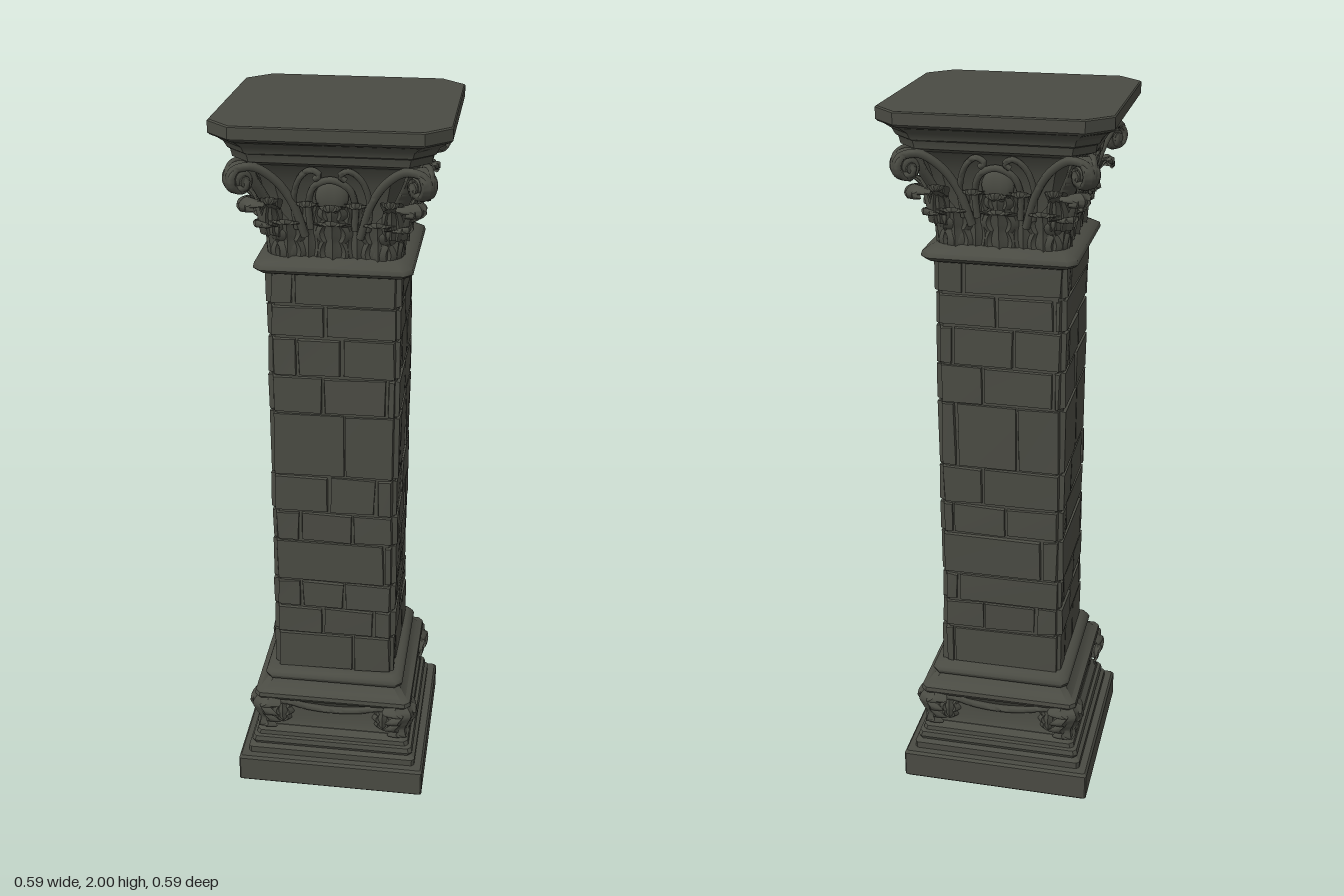
import * as THREE from 'three';
import { toCreasedNormals } from 'three/addons/utils/BufferGeometryUtils.js';

const stone = new THREE.MeshStandardMaterial({ color: 0x4a4b43, side: THREE.DoubleSide });
const V = (x, y, z) => new THREE.Vector3(x, y, z);

let seed = 7;
const rand = () => (seed = (seed * 16807) % 2147483647) / 2147483647;
const jitter = (a) => (rand() - 0.5) * 2 * a;

function add(parent, name, geo, crease = 0.6) {
  const mesh = new THREE.Mesh(toCreasedNormals(geo, crease), stone);
  mesh.name = name;
  parent.add(mesh);
  return mesh;
}

// Square moulding with cut corners, from rows of [half width, y, corner cut]
function moulding(rows) {
  const pos = [], idx = [];
  for (const [h, y, c] of rows) {
    const k = h - c;
    for (const [x, z] of [[-k, h], [k, h], [h, k], [h, -k], [k, -h], [-k, -h], [-h, -k], [-h, k]]) pos.push(x, y, z);
  }
  for (let r = 0; r < rows.length - 1; r++) {
    for (let i = 0; i < 8; i++) {
      const a = r * 8 + i, b = r * 8 + (i + 1) % 8;
      idx.push(a, b, b + 8, a, b + 8, a + 8);
    }
  }
  const top = (rows.length - 1) * 8;
  for (let i = 1; i < 7; i++) idx.push(0, i + 1, i, top, top + i, top + i + 1);
  const geo = new THREE.BufferGeometry();
  geo.setAttribute('position', new THREE.Float32BufferAttribute(pos, 3));
  geo.setIndex(idx);
  return geo;
}

// Acanthus leaf: a ribbed, lobed sheet following a path of [outward, y]
function leaf(path, width, lobes = 4, bend = 0.3) {
  const curve = new THREE.CatmullRomCurve3(path.map(([z, y]) => V(0, y, z)));
  const geo = new THREE.PlaneGeometry(2, 1, 10, 24);
  const p = geo.attributes.position;
  for (let i = 0; i < p.count; i++) {
    const u = p.getX(i), t = p.getY(i) + 0.5, c = curve.getPoint(t);
    const outline = Math.sqrt(Math.max(0, 1 - Math.pow(t, 4))) * (0.7 + 0.3 * Math.abs(Math.sin(lobes * Math.PI * t)));
    const w = width * outline;
    const rib = 0.006 * Math.cos(u * Math.PI * 3) * (1 - t * 0.5);
    p.setXYZ(i, u * w, c.y - Math.abs(u) * w * 0.25, c.z + rib - bend * u * u * w);
  }
  return geo;
}

const tube = (pts, r, n = 32) =>
  new THREE.TubeGeometry(new THREE.CatmullRomCurve3(pts.map((q) => V(...q))), n, r, 7);

// Roughly cut block: front corners are drawn in and shaken a little
function block(w, h, d) {
  const geo = new THREE.BoxGeometry(w, h, d);
  const p = geo.attributes.position, shifts = {};
  for (let i = 0; i < p.count; i++) {
    const x = p.getX(i), y = p.getY(i), z = p.getZ(i);
    if (z < 0) continue;
    const s = (shifts[`${x > 0}${y > 0}`] ??= [jitter(0.003), jitter(0.003), jitter(0.002)]);
    p.setXYZ(i, x - Math.sign(x) * 0.004 + s[0], y - Math.sign(y) * 0.004 + s[1], z + s[2]);
  }
  return geo;
}

function makeBase() {
  const base = new THREE.Group();
  base.name = 'base';
  add(base, 'plinth', moulding([
    [0.268, 0, 0.004], [0.276, 0.008, 0.004], [0.276, 0.084, 0.004], [0.27, 0.092, 0.004]]), 0.3);
  add(base, 'steps', moulding([
    [0.25, 0.09, 0.008], [0.25, 0.112, 0.008], [0.238, 0.12, 0.01], [0.242, 0.13, 0.01],
    [0.238, 0.144, 0.01], [0.229, 0.147, 0.01], [0.227, 0.16, 0.012], [0.212, 0.175, 0.012]]), 0.3);
  add(base, 'pedestal', moulding([
    [0.212, 0.17, 0.012], [0.203, 0.19, 0.015], [0.2, 0.25, 0.015], [0.212, 0.27, 0.015], [0.226, 0.278, 0.015],
    [0.232, 0.288, 0.015], [0.23, 0.3, 0.015], [0.216, 0.306, 0.015], [0.2, 0.325, 0.015], [0.19, 0.34, 0.015]]), 0.5);
  add(base, 'neckRing', moulding([
    [0.188, 0.328, 0.015], [0.2, 0.336, 0.018], [0.204, 0.347, 0.018], [0.2, 0.358, 0.018], [0.186, 0.368, 0.015]]), 0.8);
  for (let i = 0; i < 4; i++) {
    const side = new THREE.Group();
    side.name = 'baseOrnament';
    side.rotation.y = i * Math.PI / 2;
    base.add(side);
    // Garland slung between the corner leaves
    add(side, 'garland', tube([[-0.2, 0.262, 0.208], [-0.13, 0.262, 0.208], [-0.08, 0.248, 0.206], [0, 0.24, 0.204],
      [0.08, 0.248, 0.206], [0.13, 0.262, 0.208], [0.2, 0.262, 0.208]], 0.011), 1);
    for (const x of [-0.15, 0.15]) {
      const hanging = add(side, 'hangingLeaf', leaf([[0.21, 0.27], [0.217, 0.23], [0.213, 0.19]], 0.034, 3));
      hanging.position.x = x;
    }
    const corner = add(side, 'cornerLeaf',
      leaf([[0.3, 0.295], [0.328, 0.268], [0.318, 0.235], [0.303, 0.2], [0.31, 0.172]], 0.062, 4, 0.55));
    corner.rotation.y = Math.PI / 4;
    const boss = add(side, 'cornerBoss', new THREE.SphereGeometry(0.03, 12, 8), 1);
    boss.position.set(0.205, 0.258, 0.205);
  }
  return base;
}

function makeShaft() {
  const shaft = new THREE.Group();
  shaft.name = 'shaft';
  add(shaft, 'core', moulding([[0.169, 0.35, 0.014], [0.169, 1.62, 0.014]]), 0.3);
  const courses = [0.366, 0.49, 0.58, 0.67, 0.8, 0.895, 1.01, 1.2, 1.31, 1.42, 1.51, 1.602];
  for (let f = 0; f < 4; f++) {
    const face = new THREE.Group();
    face.name = 'blockFace';
    face.rotation.y = f * Math.PI / 2;
    shaft.add(face);
    for (let r = 0; r < courses.length - 1; r++) {
      const y0 = courses[r], y1 = courses[r + 1];
      const shift = r % 2 ? 0.05 : -0.04;
      const joints = [-0.166, -0.075 + shift + jitter(0.025), 0.075 + shift + jitter(0.025), 0.166];
      if (rand() < 0.4) joints.splice(1 + Math.floor(rand() * 2), 1);
      for (let j = 0; j < joints.length - 1; j++) {
        const w = joints[j + 1] - joints[j];
        const brick = add(face, 'block', block(w - 0.002, y1 - y0 - 0.002, 0.02), 0.3);
        brick.position.set(joints[j] + w / 2, (y0 + y1) / 2, 0.166 + jitter(0.0015));
      }
    }
  }
  return shaft;
}

function makeCapital() {
  const capital = new THREE.Group();
  capital.name = 'capital';
  add(capital, 'collar', moulding([
    [0.176, 1.594, 0.015], [0.196, 1.602, 0.02], [0.206, 1.612, 0.022], [0.203, 1.624, 0.022],
    [0.19, 1.632, 0.02], [0.172, 1.642, 0.02]]), 0.8);
  add(capital, 'bell', moulding([
    [0.162, 1.63, 0.03], [0.163, 1.7, 0.035], [0.172, 1.77, 0.04], [0.19, 1.84, 0.045],
    [0.215, 1.885, 0.05], [0.232, 1.905, 0.05]]), 0.6);
  add(capital, 'abacus', moulding([
    [0.22, 1.89, 0.045], [0.246, 1.902, 0.05], [0.25, 1.922, 0.05], [0.256, 1.926, 0.052], [0.264, 1.942, 0.055],
    [0.28, 1.956, 0.058], [0.292, 1.962, 0.062], [0.297, 1.968, 0.062], [0.297, 1.997, 0.062], [0.294, 2, 0.062]]), 0.4);

  // Corner scroll drawn in the diagonal plane
  const spiral = [[0, 1.68, 0.215], [0, 1.77, 0.235], [0, 1.84, 0.275]];
  for (let k = 0; k <= 18; k++) {
    const a = 2.2 - k * 0.55, r = 0.036 - k * 0.0016;
    spiral.push([0, 1.852 + r * Math.sin(a), 0.318 + r * Math.cos(a)]);
  }

  for (let i = 0; i < 4; i++) {
    const side = new THREE.Group();
    side.name = 'capitalOrnament';
    side.rotation.y = i * Math.PI / 2;
    capital.add(side);

    // Lower and upper leaf tiers
    for (const x of [-0.115, 0, 0.115]) {
      const low = add(side, 'lowerLeaf', leaf([[0.172, 1.635], [0.178, 1.69], [0.19, 1.735], [0.207, 1.75], [0.212, 1.737]], 0.055));
      low.position.x = x;
    }
    for (const x of [-0.062, 0.062]) {
      const high = add(side, 'upperLeaf', leaf([[0.168, 1.64], [0.175, 1.73], [0.19, 1.785], [0.21, 1.8], [0.217, 1.785]], 0.04, 5));
      high.position.x = x;
    }
    add(side, 'centreLeaf', leaf([[0.17, 1.7], [0.19, 1.75], [0.2, 1.785], [0.222, 1.795], [0.226, 1.778]], 0.04));

    // Arch around the middle of the face
    add(side, 'arch', tube([[-0.056, 1.72, 0.178], [-0.058, 1.79, 0.19], [-0.042, 1.835, 0.205], [0, 1.855, 0.212],
      [0.042, 1.835, 0.205], [0.058, 1.79, 0.19], [0.056, 1.72, 0.178]], 0.009), 1);
    const shell = add(side, 'shell', new THREE.SphereGeometry(0.042, 14, 10), 1);
    shell.scale.set(1, 1, 0.4);
    shell.position.set(0, 1.805, 0.187);

    // Mirrored stems that curl outward and inward
    for (const s of [-1, 1]) {
      add(side, 'outerStem', tube([[0.07, 1.7, 0.18], [0.098, 1.79, 0.197], [0.14, 1.855, 0.218], [0.19, 1.888, 0.236],
        [0.235, 1.878, 0.247], [0.243, 1.85, 0.248], [0.222, 1.832, 0.243], [0.203, 1.845, 0.238], [0.214, 1.86, 0.24],
      ].map(([x, y, z]) => [s * x, y, z]), 0.011, 48), 1);
      add(side, 'innerStem', tube([[0.09, 1.72, 0.182], [0.095, 1.8, 0.198], [0.075, 1.86, 0.215], [0.045, 1.882, 0.225],
        [0.025, 1.87, 0.224], [0.038, 1.858, 0.22],
      ].map(([x, y, z]) => [s * x, y, z]), 0.008), 1);
      const sprig = add(side, 'sprigLeaf', leaf([[0.185, 1.7], [0.195, 1.76], [0.215, 1.805], [0.238, 1.812], [0.24, 1.795]], 0.03, 3));
      sprig.position.x = s * 0.15;
    }

    const corner = new THREE.Group();
    corner.name = 'corner';
    corner.rotation.y = Math.PI / 4;
    side.add(corner);
    const scroll = add(corner, 'cornerScroll', tube(spiral, 0.011, 90), 1);
    scroll.scale.x = 2.4;
    const eye = add(corner, 'scrollEye', new THREE.CylinderGeometry(0.014, 0.014, 0.06, 12));
    eye.rotation.z = Math.PI / 2;
    eye.position.set(0, 1.852, 0.318);
    add(corner, 'cornerLeaf', leaf([[0.215, 1.635], [0.225, 1.71], [0.25, 1.775], [0.295, 1.805], [0.318, 1.79], [0.314, 1.77]], 0.055, 5, 0.5));
    add(corner, 'lowerCornerLeaf', leaf([[0.222, 1.635], [0.23, 1.69], [0.248, 1.73], [0.268, 1.738], [0.272, 1.722]], 0.05, 4, 0.5));
  }
  return capital;
}

export function createModel() {
  const column = new THREE.Group();
  column.name = 'column';
  column.add(makeBase(), makeShaft(), makeCapital());
  return column;
}
